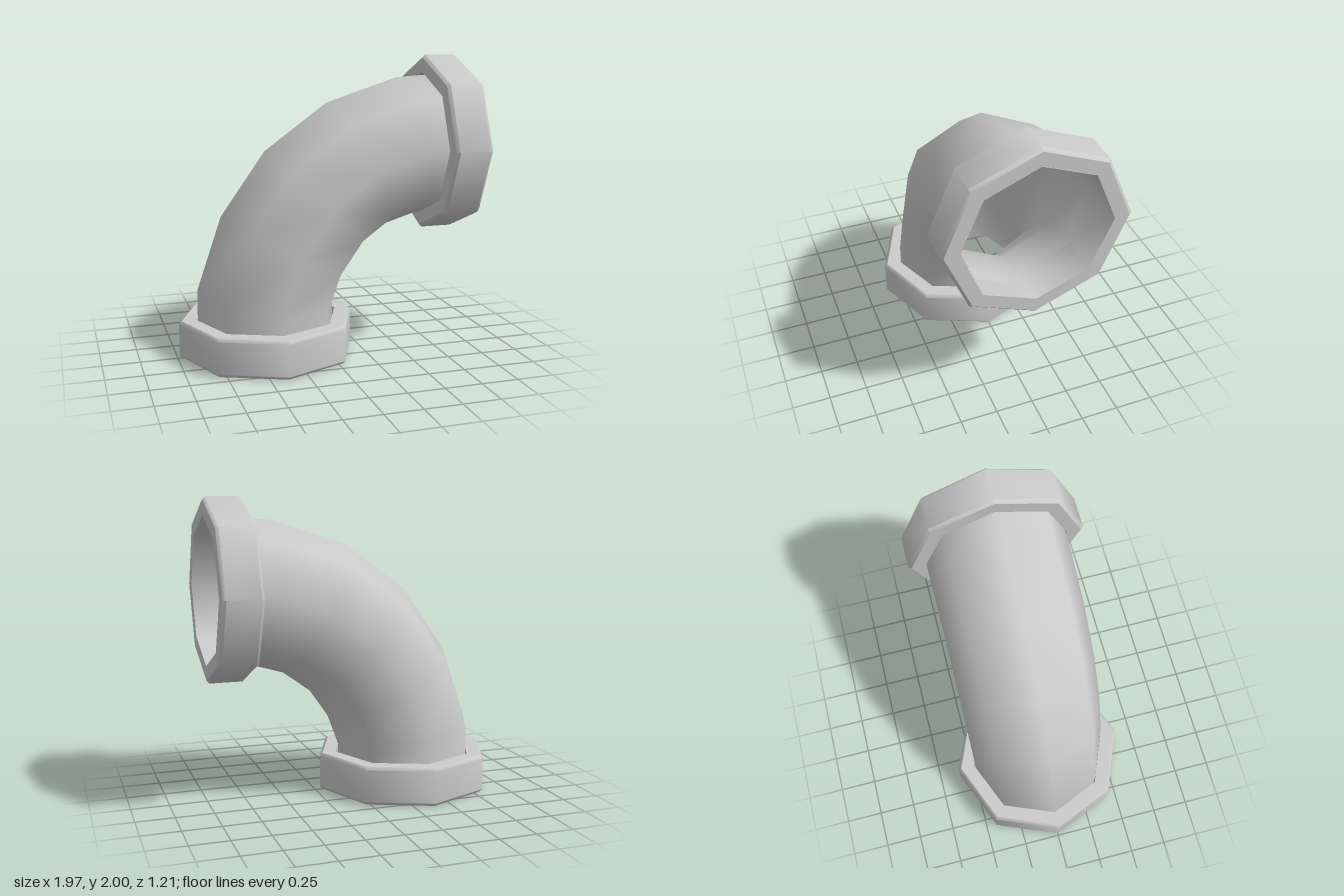
import * as THREE from 'three';
import { toCreasedNormals } from 'three/addons/utils/BufferGeometryUtils.js';

const SIDES = 8;

// Open tube lofted through tilted octagonal rings: [x, y, tilt in degrees, radius]
function elbowGeometry(rings) {
  const positions = [], index = [];
  rings.forEach(([x, y, tilt, r], i) => {
    const t = THREE.MathUtils.degToRad(tilt);
    for (let j = 0; j < SIDES; j++) {
      const a = (j / SIDES) * Math.PI * 2;
      const out = r * Math.cos(a);
      positions.push(x - out * Math.cos(t), y + out * Math.sin(t), r * Math.sin(a));
      if (i === 0) continue;
      const k = (j + 1) % SIDES, lo = (i - 1) * SIDES, hi = i * SIDES;
      index.push(lo + j, lo + k, hi + k, lo + j, hi + k, hi + j);
    }
  });
  const geometry = new THREE.BufferGeometry();
  geometry.setAttribute('position', new THREE.Float32BufferAttribute(positions, 3));
  geometry.setIndex(index);
  geometry.computeVertexNormals();
  return geometry;
}

// Hollow octagonal ring with bevelled outer edges, standing on y = 0
function collarGeometry(outer, inner, height, bevel) {
  const s = 0.005; // narrow support strips keep the broad faces flat
  const profile = [
    [inner, 0], [outer - bevel - s, 0], [outer - bevel, 0],
    [outer, bevel], [outer, bevel + s],
    [outer, height - bevel - s], [outer, height - bevel],
    [outer - bevel, height], [outer - bevel - s, height],
    [inner, height], [inner, 0],
  ].map(([x, y]) => new THREE.Vector2(x, y));
  return toCreasedNormals(new THREE.LatheGeometry(profile, SIDES), 0.82);
}

export function createModel() {
  const group = new THREE.Group();
  const grey = new THREE.MeshStandardMaterial({ color: 0xcccccc });
  const greyDouble = new THREE.MeshStandardMaterial({ color: 0xcccccc, side: THREE.DoubleSide });

  // Bent pipe, open at both ends
  const pipe = new THREE.Mesh(elbowGeometry([
    [-0.386, 0.005, 0, 0.476],
    [-0.387, 0.385, 9, 0.478],
    [-0.265, 0.735, 27, 0.478],
    [-0.05, 1.04, 45, 0.478],
    [0.255, 1.262, 63, 0.478],
    [0.615, 1.376, 81, 0.48],
    [0.98, 1.398, 90, 0.48],
  ]), greyDouble);
  pipe.name = 'bentPipe';
  group.add(pipe);

  // Collars around the two openings
  const collar = collarGeometry(0.603, 0.487, 0.257, 0.02);
  const bottomCollar = new THREE.Mesh(collar, grey);
  bottomCollar.name = 'bottomCollar';
  bottomCollar.position.set(-0.385, 0, 0);

  const sideCollar = new THREE.Mesh(collar, grey);
  sideCollar.name = 'sideCollar';
  sideCollar.rotation.z = -Math.PI / 2;
  sideCollar.position.set(0.73, 1.397, 0);

  group.add(bottomCollar, sideCollar);
  return group;
}
